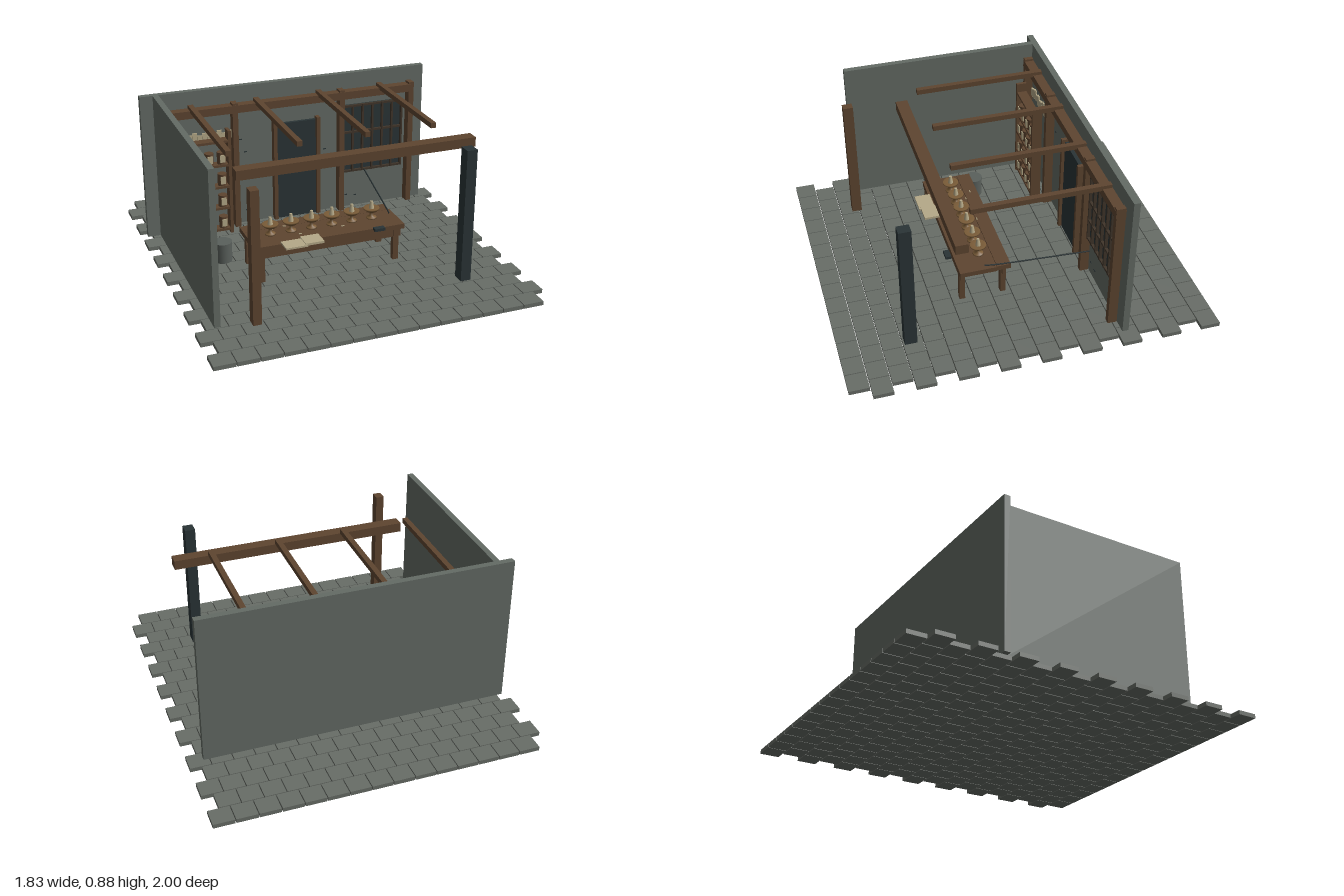
import * as THREE from 'three';

const mat = (name, color) => {
  const m = new THREE.MeshStandardMaterial({ color });
  m.name = name;
  return m;
};

export function createModel() {
  const root = new THREE.Group();
  root.name = 'workshop';
  const stone = mat('floor stone', 0x686d67);
  const plaster = mat('wall plaster', 0x646b65);
  const wood = mat('brown wood', 0x5e4530);
  const dark = mat('dark slate', 0x2a3436);
  const cream = mat('cream paper', 0xb5a988);
  const brass = mat('dull brass', 0x7a5c38);
  const lattice = mat('lattice wood', 0x40352a);
  const iron = mat('pot iron', 0x5a605c);

  const group = (name, parent = root) => {
    const g = new THREE.Group();
    g.name = name;
    parent.add(g);
    return g;
  };
  const mesh = (name, geo, m, x, y, z, parent = root) => {
    const o = new THREE.Mesh(geo, m);
    o.name = name;
    o.position.set(x, y, z);
    parent.add(o);
    return o;
  };
  // Box given by its extents on each axis
  const box = (name, m, [x0, x1], [y0, y1], [z0, z1], parent = root) =>
    mesh(name, new THREE.BoxGeometry(x1 - x0, y1 - y0, z1 - z0), m,
      (x0 + x1) / 2, (y0 + y1) / 2, (z0 + z1) / 2, parent);
  const around = (c, w) => [c - w / 2, c + w / 2];

  // Paving: 18 staggered rows of 15 slabs
  const floor = group('floor');
  const G = 0.023, pitch = 0.1185, depth = 2 / 18;
  for (let r = 0; r < 18; r++) {
    const x0 = r % 2 ? -0.92 : -0.859;
    const z0 = -1 + r * depth;
    for (let c = 0; c < 15; c++)
      box('pavingSlab', stone, [x0 + c * pitch, x0 + (c + 1) * pitch - 0.005],
        [0, G], [z0 + 0.0015, z0 + depth - 0.0035 + (r === 17 ? 0.0035 : 0)], floor);
  }

  // Walls with a few dark chips
  box('backWall', plaster, [-0.89, 0.83], [G, 0.875], [-0.508, -0.473]);
  box('leftWall', plaster, [-0.817, -0.784], [G, 0.875], [-0.473, 0.658]);
  [[-0.29, 0.47], [-0.32, 0.55], [0.21, 0.345], [0.23, 0.33], [0.34, 0.1], [0.4, 0.09],
    [0.2, 0.42], [-0.2, 0.34], [-0.29, 0.1]].forEach(([x, y]) =>
    box('wallChip', dark, around(x, 0.018), around(y, 0.006), [-0.474, -0.47]));

  // Roof frame
  const frame = group('timberFrame');
  box('backBeam', wood, [-0.785, 0.75], [0.733, 0.778], [-0.473, -0.418], frame);
  box('frontBeam', wood, [-0.607, 0.733], [0.681, 0.734], [0.335, 0.402], frame);
  for (const x of [-0.772, -0.36, 0.292, 0.735])
    box('backPost', wood, around(x, 0.032), [G, 0.79], [-0.471, -0.42], frame);
  for (const x of [-0.607, -0.224, 0.158, 0.541])
    box('rafter', wood, around(x, 0.03), [0.768, 0.797], [-0.471, 0.277], frame);
  box('frontPost', wood, [-0.63, -0.584], [G, 0.754], [0.652, 0.708], frame);
  box('darkPost', dark, [0.55, 0.608], [G, 0.773], [0.588, 0.655], frame);

  // Door
  const door = group('door');
  box('doorPanel', dark, [-0.108, 0.14], [G, 0.622], [-0.473, -0.453], door);
  for (const x of [-0.117, 0.149])
    box('doorPost', wood, around(x, 0.022), [G, 0.638], [-0.473, -0.435], door);

  // Lattice window
  const win = group('window');
  box('windowPane', dark, [0.305, 0.695], [0.255, 0.68], [-0.473, -0.465], win);
  for (let i = 0; i < 7; i++)
    box('windowBar', lattice, around(0.311 + i * 0.063, 0.011), [0.255, 0.68], [-0.465, -0.448], win);
  for (const y of [0.261, 0.385, 0.51, 0.674])
    box('windowRail', lattice, [0.305, 0.695], around(y, 0.012), [-0.465, -0.45], win);

  // Shelves with labelled jars
  const shelf = group('shelf');
  for (const x of [-0.722, -0.417])
    box('shelfUpright', wood, around(x, 0.018), [G, 0.655], [-0.418, -0.358], shelf);
  const levels = [0.055, 0.19, 0.322, 0.455, 0.6];
  for (const y of levels)
    box('shelfBoard', wood, [-0.725, -0.41], [y - 0.014, y], [-0.418, -0.36], shelf);
  const jarGeo = new THREE.CylinderGeometry(0.026, 0.026, 0.07, 14);
  for (const y of levels.slice(0, 4))
    for (const x of [-0.679, -0.606, -0.533, -0.46]) {
      mesh('jar', jarGeo, wood, x, y + 0.035, -0.389, shelf);
      box('jarLabel', cream, around(x, 0.03), [y + 0.013, y + 0.058], [-0.366, -0.36], shelf);
    }
  // Paper slips behind the top shelf
  for (let i = 0; i < 12; i++)
    box('paperSlip', cream, around(-0.71 + i * 0.029, 0.028),
      [0.56 + ((i * 5) % 4) * 0.006, 0.612 + ((i * 7) % 5) * 0.006], [-0.46, -0.452], shelf);

  // Table
  const table = group('table');
  box('rearPlank', wood, [-0.483, 0.375], [0.205, 0.233], [0.008, 0.085], table);
  box('frontPlank', wood, [-0.483, 0.38], [0.205, 0.233], [0.087, 0.292], table);
  for (const z of [0.043, 0.274]) {
    box('apron', wood, [-0.463, 0.362], [0.16, 0.205], around(z, 0.018), table);
    for (const x of [-0.445, 0.331])
      box('tableLeg', wood, around(x, 0.032), [G, 0.205], around(z, 0.031), table);
  }

  // Row of oil lamps
  const lampGeo = new THREE.LatheGeometry([[0, 0], [0.03, 0], [0.028, 0.007], [0.01, 0.013],
    [0.009, 0.035], [0.03, 0.042], [0.045, 0.055], [0.044, 0.063], [0.016, 0.058], [0, 0.058]]
    .map(p => new THREE.Vector2(...p)), 20);
  const candleGeo = new THREE.CylinderGeometry(0.008, 0.015, 0.044, 10);
  for (let i = 0; i < 6; i++) {
    const lamp = group('lamp');
    lamp.position.set(-0.352 + i * 0.1184, 0.233, 0.154);
    mesh('lampDish', lampGeo, brass, 0, 0, 0, lamp);
    mesh('candle', candleGeo, cream, 0, 0.08, 0, lamp);
  }

  // Papers, ink block and scraps on the table
  box('leftPaper', cream, [-0.338, -0.215], [0.235, 0.245], [0.285, 0.375]);
  box('rightPaper', cream, [-0.225, -0.12], [0.236, 0.249], [0.27, 0.365]);
  box('inkBlock', dark, [0.185, 0.245], [0.234, 0.25], [0.305, 0.337]);
  [[-0.33, 0.1], [-0.25, 0.09], [-0.05, 0.08], [-0.2, 0.21], [0.05, 0.2], [-0.31, 0.05]]
    .forEach(([x, z]) => box('scrap', cream, around(x, 0.018), [0.233, 0.237], around(z, 0.005)));

  // Cord from the table to the window
  const cord = new THREE.CatmullRomCurve3([[0.352, 0.237, 0.15], [0.365, 0.239, 0.08],
    [0.4, 0.255, -0.16], [0.437, 0.273, -0.42]].map(p => new THREE.Vector3(...p)));
  mesh('cord', new THREE.TubeGeometry(cord, 16, 0.004, 6), dark, 0, 0, 0);

  // Round pot beside the table
  mesh('pot', new THREE.CylinderGeometry(0.053, 0.05, 0.115, 24), iron, -0.567, G + 0.0575, -0.04);
  return root;
}
